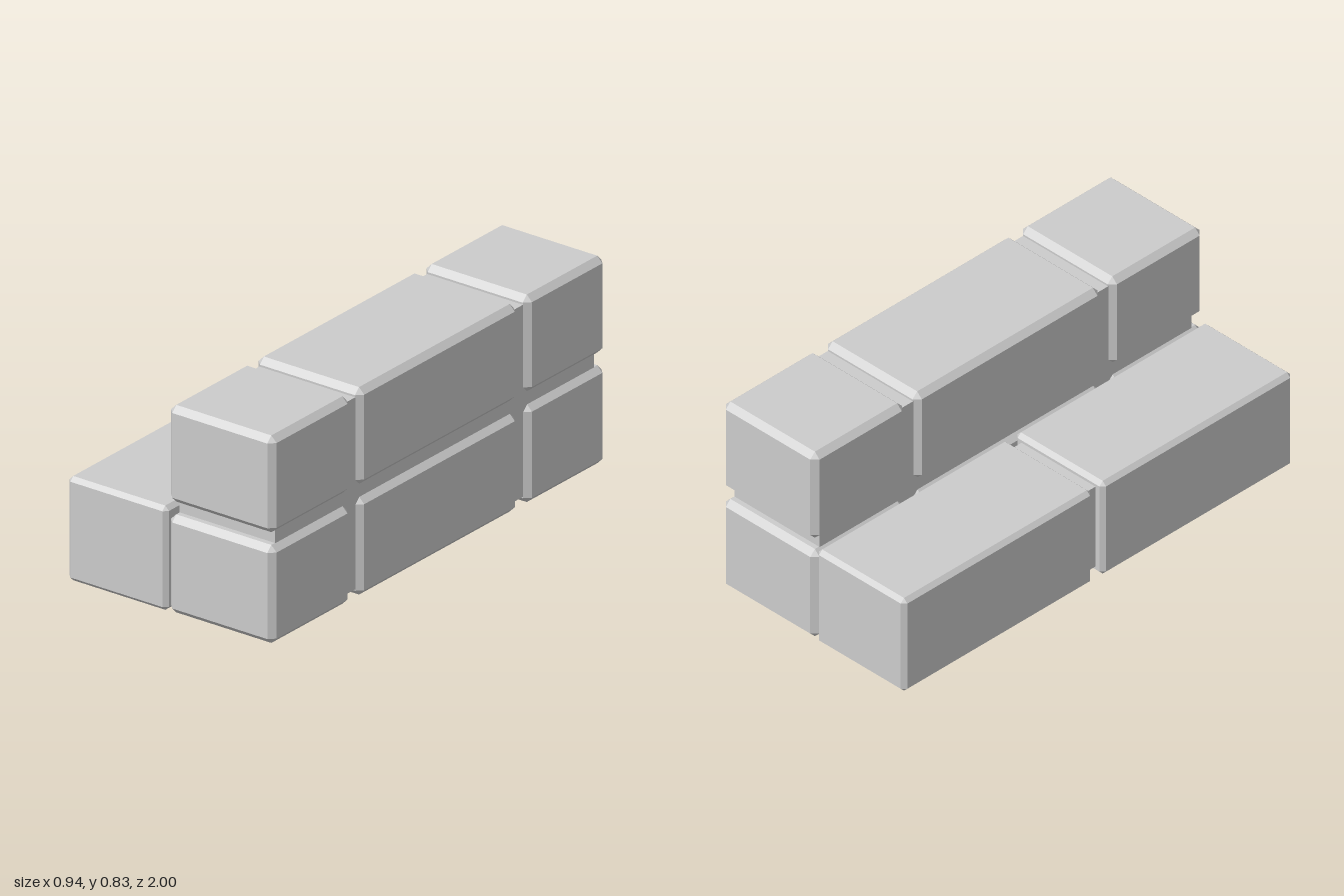
import * as THREE from 'three';
import { ConvexGeometry } from 'three/addons/geometries/ConvexGeometry.js';

const material = new THREE.MeshStandardMaterial({ color: 0xcccccc, flatShading: true });

// Box between two corners whose edges are all cut by a flat chamfer
function chamferedBox(min, max, cut) {
  const points = [];
  for (let corner = 0; corner < 8; corner++) {
    for (let faceAxis = 0; faceAxis < 3; faceAxis++) {
      const p = [0, 1, 2].map((axis) => {
        const inset = axis === faceAxis ? 0 : cut;
        return (corner >> axis) & 1 ? max[axis] - inset : min[axis] + inset;
      });
      points.push(new THREE.Vector3(...p));
    }
  }
  return new ConvexGeometry(points);
}

function addBrick(group, name, x, y, z, cut) {
  const mesh = new THREE.Mesh(chamferedBox([x[0], y[0], z[0]], [x[1], y[1], z[1]], cut), material);
  mesh.name = name;
  group.add(mesh);
}

function addMortar(group, name, x, y, z) {
  const geometry = new THREE.BoxGeometry(x[1] - x[0], y[1] - y[0], z[1] - z[0]);
  geometry.translate((x[0] + x[1]) / 2, (y[0] + y[1]) / 2, (z[0] + z[1]) / 2);
  const mesh = new THREE.Mesh(geometry, material);
  mesh.name = name;
  group.add(mesh);
}

export function createModel() {
  const model = new THREE.Group();
  model.name = 'brickSteps';

  // Tall row: two courses of half, full and half bricks
  const courses = { lower: [0, 0.393], upper: [0.444, 0.832] };
  const lengths = { frontHalf: [0.527, 1], middle: [-0.475, 0.475], backHalf: [-1, -0.53] };
  for (const [course, y] of Object.entries(courses)) {
    for (const [part, z] of Object.entries(lengths)) {
      addBrick(model, `${course}Course ${part}Brick`, [-0.012, 0.471], y, z, 0.024);
    }
  }
  addMortar(model, 'tallRowMortar', [0.01, 0.448], [0.03, 0.8], [-0.955, 0.955]);

  // Low step: two long bricks
  const stepX = [-0.471, -0.016];
  addBrick(model, 'stepFrontBrick', stepX, [0, 0.418], [0.02, 1], 0.017);
  addBrick(model, 'stepBackBrick', stepX, [0, 0.418], [-1, -0.028], 0.017);
  addMortar(model, 'stepMortar', [-0.434, -0.053], [0.03, 0.39], [-0.955, 0.955]);

  return model;
}
